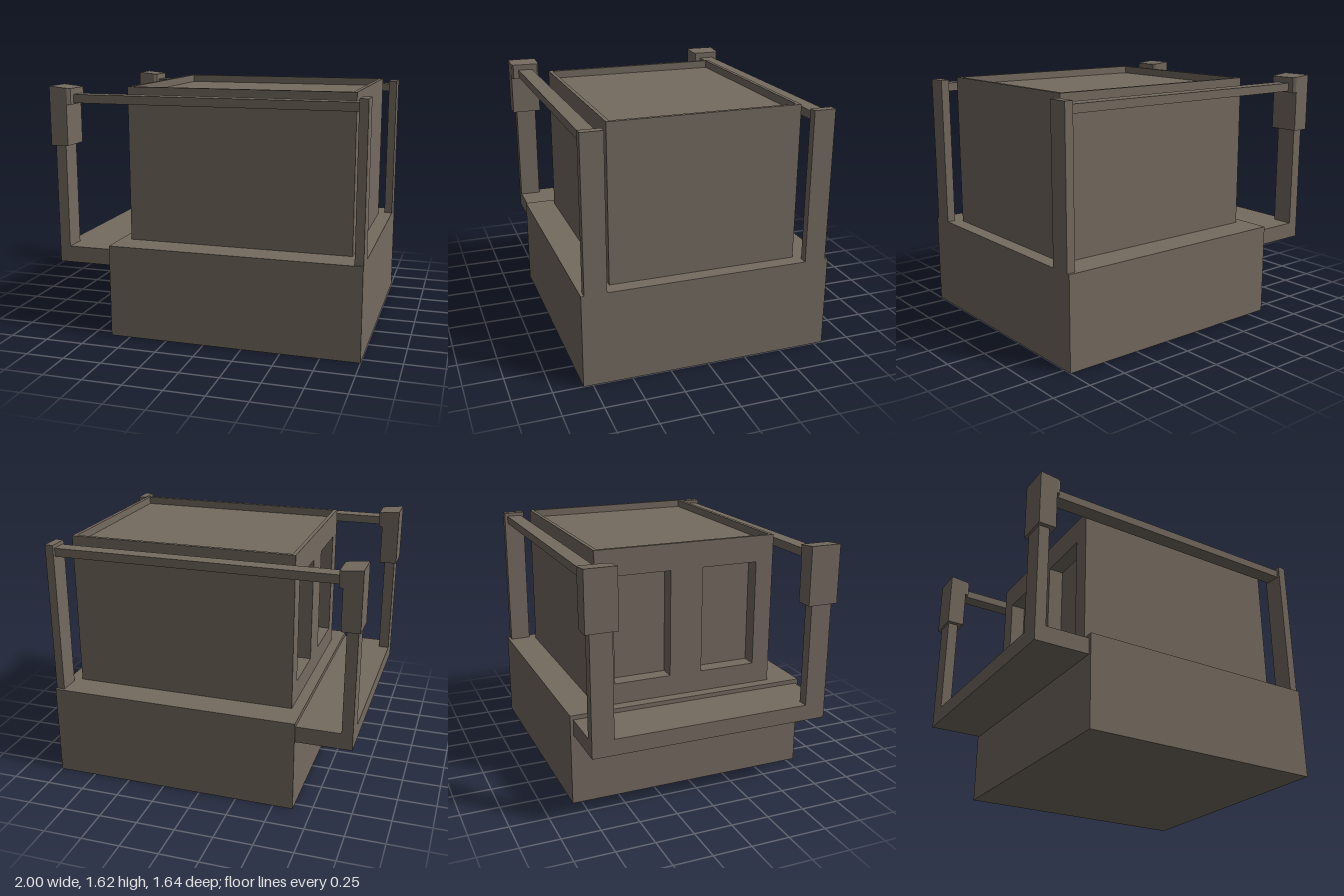
import * as THREE from 'three';

const stone = new THREE.MeshStandardMaterial({ color: 0x746a5f });
stone.name = 'brown grey';

function add(parent, name, geometry) {
  const mesh = new THREE.Mesh(geometry, stone);
  mesh.name = name;
  parent.add(mesh);
  return mesh;
}

// Box given by its limits on each axis
function box(parent, name, [x0, x1], [y0, y1], [z0, z1]) {
  const g = new THREE.BoxGeometry(x1 - x0, y1 - y0, z1 - z0);
  g.translate((x0 + x1) / 2, (y0 + y1) / 2, (z0 + z1) / 2);
  return add(parent, name, g);
}

function rect(Type, x0, x1, y0, y1) {
  return new Type([[x0, y0], [x1, y0], [x1, y1], [x0, y1]].map(p => new THREE.Vector2(...p)));
}

const extrude = (shape, depth) => new THREE.ExtrudeGeometry(shape, { depth, bevelEnabled: false });

// Bracket head: chamfered towards the rail, with a slightly sloping top
function headGeometry() {
  const plan = new THREE.Shape([
    [-1, -0.1], [-0.88, -0.1], [-0.86, -0.088], [-0.86, 0.088], [-0.88, 0.1], [-1, 0.1],
  ].map(p => new THREE.Vector2(...p)));
  const g = extrude(plan, 0.115).rotateX(-Math.PI / 2).translate(0, 1.5, 0);
  const p = g.attributes.position;
  for (let i = 0; i < p.count; i++) {
    if (p.getY(i) > 1.55) p.setY(i, 1.615 - (p.getX(i) + 1) * 0.1);
  }
  g.computeVertexNormals();
  return g;
}

export function createModel() {
  const model = new THREE.Group();
  model.name = 'cabin';

  // Base and rear step
  box(model, 'base', [-0.63, 1], [0, 0.603], [-0.81, 0.81]);
  box(model, 'platform', [-0.985, -0.63], [0.47, 0.575], [-0.79, 0.79]);

  // Cabin body, with a wall that holds two recessed windows
  const body = new THREE.Group();
  body.name = 'body';
  model.add(body);
  box(body, 'core', [-0.46, 0.905], [0.6, 1.555], [-0.61, 0.61]);
  const wall = rect(THREE.Shape, -0.61, 0.61, 0.6, 1.555);
  for (const s of [-1, 1]) {
    wall.holes.push(rect(THREE.Path, s * 0.3 - 0.19, s * 0.3 + 0.19, 0.74, 1.435));
  }
  add(body, 'windowWall', extrude(wall, 0.1).rotateY(-Math.PI / 2).translate(-0.46, 0, 0));

  // Raised edge round the flat roof
  const rim = rect(THREE.Shape, -0.56, 0.905, -0.61, 0.61);
  rim.holes.push(rect(THREE.Path, -0.535, 0.88, -0.585, 0.585));
  add(body, 'roofRim', extrude(rim, 0.05).rotateX(-Math.PI / 2).translate(0, 1.555, 0));

  // Side frames: posts, bracket and rail
  for (const s of [-1, 1]) {
    const frame = new THREE.Group();
    frame.name = s > 0 ? 'frontFrame' : 'backFrame';
    frame.position.z = s * 0.72;
    model.add(frame);
    box(frame, 'tallPost', [0.945, 1], [0.6, 1.585], [-0.07, 0.07]);
    box(frame, 'stepPost', [-0.985, -0.915], [0.57, 1.26], [-0.07, 0.07]);
    box(frame, 'bracket', [-1, -0.885], [1.24, 1.5], [-0.1, 0.1]);
    add(frame, 'bracketHead', headGeometry());
    box(frame, 'rail', [-0.87, 0.95], [1.508, 1.562], [-0.05, 0.05]);
  }
  return model;
}
